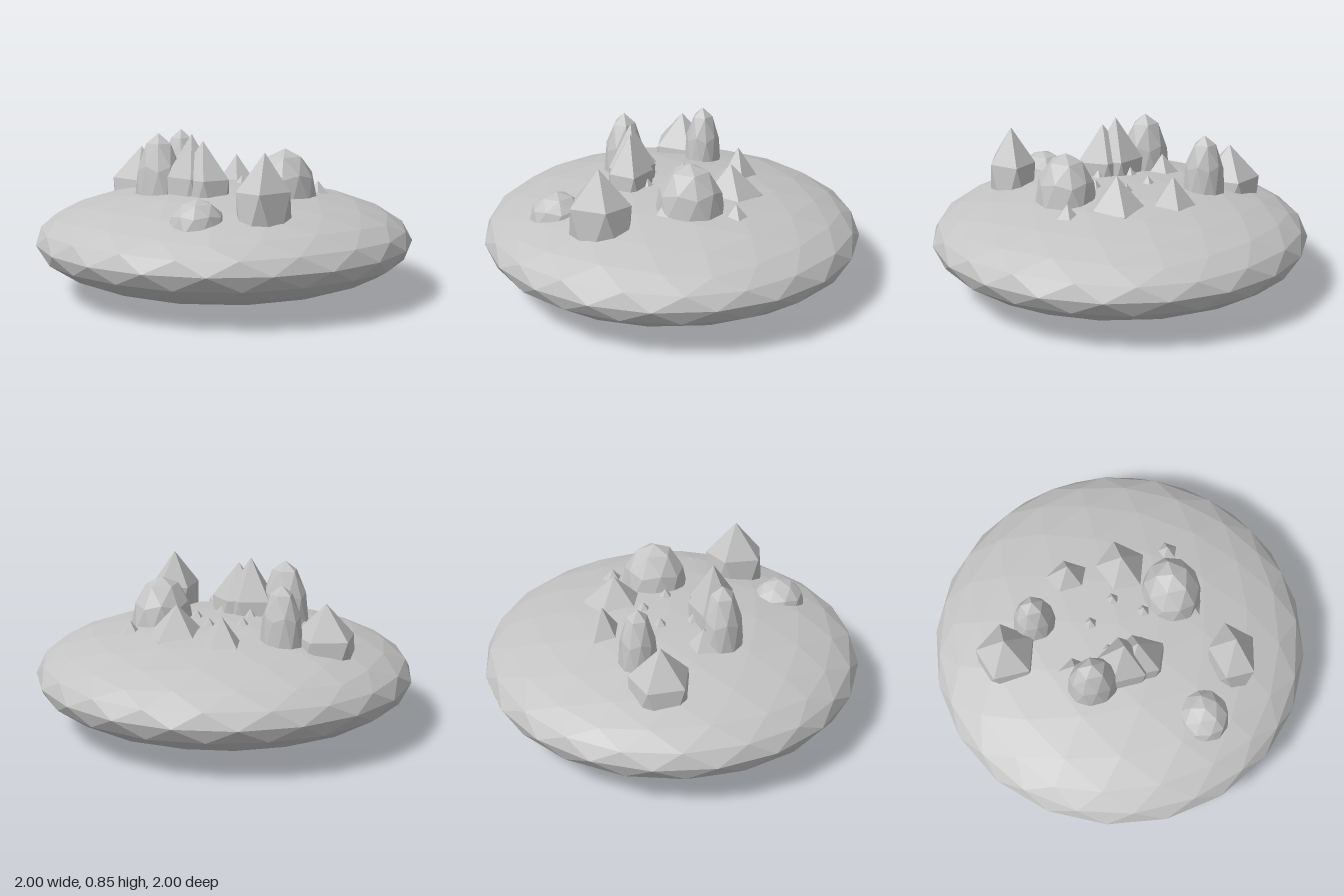
import * as THREE from 'three';

const stone = new THREE.MeshStandardMaterial({ color: 0xc4c4c4, flatShading: true });
stone.name = 'stone grey';

// Faceted ball with a vertex at each pole and an upper-ring vertex towards +x
function facetBall(detail) {
  return new THREE.IcosahedronGeometry(1, detail)
    .rotateZ(Math.atan2(1, (1 + Math.sqrt(5)) / 2))
    .rotateY(Math.PI);
}

export function createModel() {
  const group = new THREE.Group();
  group.name = 'rockyIsland';
  const crystal = facetBall(0), boulder = facetBall(1), ground = facetBall(3);

  // Adds a stretched ball; top is the height of its apex
  function add(name, geometry, [x, top, z], [rx, ry, rz]) {
    const mesh = new THREE.Mesh(geometry, stone);
    mesh.name = name;
    mesh.position.set(x, top - ry, z);
    mesh.scale.set(rx, ry, rz);
    group.add(mesh);
  }

  // Flattened island body
  add('islandBase', ground, [0, 0.566, 0], [1, 0.283, 1]);

  // Rounded boulders
  [
    [[0.122, 0.775, 0.315], [0.183, 0.27, 0.163]],
    [[-0.278, 0.85, -0.21], [0.115, 0.35, 0.138]],
    [[0.13, 0.823, -0.425], [0.103, 0.32, 0.115]],
    [[-0.558, 0.592, 0.31], [0.148, 0.15, 0.137]],
  ].forEach(([p, r]) => add('boulder', boulder, p, r));

  // Pointed rocks
  [
    [[0, 0.725, -0.607], [0.18, 0.31, 0.18]],
    [[-0.308, 0.812, 0.527], [0.182, 0.34, 0.14]],
    [[0.315, 0.695, 0.09], [0.19, 0.3, 0.165]],
    [[0.34, 0.68, -0.197], [0.115, 0.28, 0.135]],
    [[0.36, 0.582, 0.355], [0.106, 0.2, 0.107]],
    [[0.02, 0.62, 0.385], [0.11, 0.22, 0.11]],
    [[-0.215, 0.823, 0.043], [0.135, 0.35, 0.17]],
    [[-0.22, 0.855, -0.03], [0.145, 0.4, 0.165]],
    [[-0.19, 0.64, -0.285], [0.115, 0.22, 0.12]],
  ].forEach(([p, r]) => add('pointedRock', crystal, p, r));

  // Ring of five pebbles around the centre
  for (let i = 0; i < 5; i++) {
    const a = (i * Math.PI * 2) / 5;
    add('pebble', crystal, [0.15 * Math.cos(a), 0.6, 0.15 * Math.sin(a)], [0.053, 0.1, 0.05]);
  }
  return group;
}
